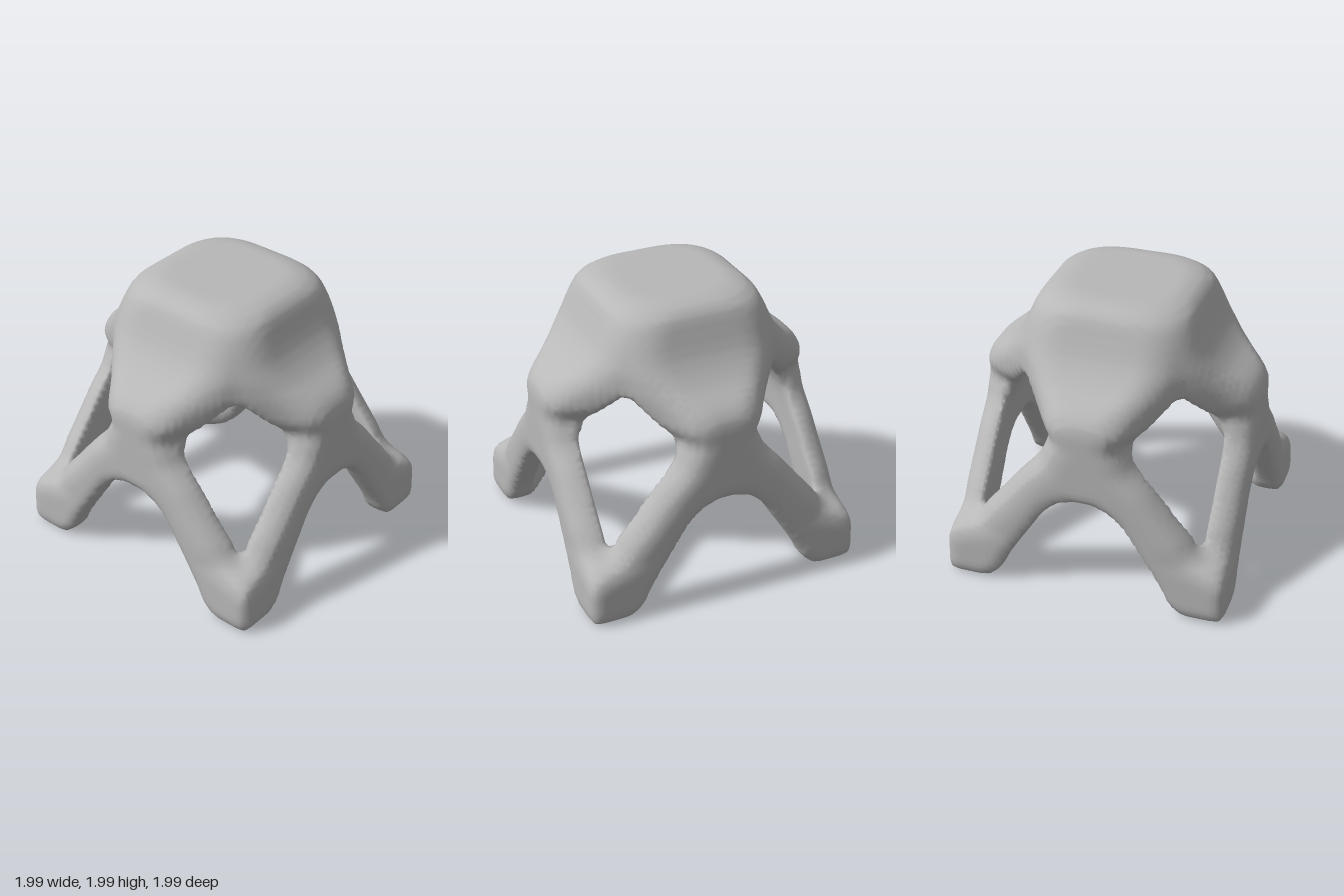
import * as THREE from 'three';

// Smooth curve through [height, value] points
function profile(pts) {
  const n = pts.length;
  const slope = pts.map((_, i) => {
    const a = pts[Math.max(i - 1, 0)], b = pts[Math.min(i + 1, n - 1)];
    return (b[1] - a[1]) / (b[0] - a[0]);
  });
  return (y) => {
    if (y <= pts[0][0]) return pts[0][1];
    if (y >= pts[n - 1][0]) return pts[n - 1][1];
    let i = 0;
    while (y > pts[i + 1][0]) i++;
    const h = pts[i + 1][0] - pts[i][0], t = (y - pts[i][0]) / h, t2 = t * t, t3 = t2 * t;
    return (2 * t3 - 3 * t2 + 1) * pts[i][1] + (t3 - 2 * t2 + t) * h * slope[i]
      + (3 * t2 - 2 * t3) * pts[i + 1][1] + (t3 - t2) * h * slope[i + 1];
  };
}

// Outer half width, corner cut with its slant, hollow half width, foot fill and arch half width by height
const outer = profile([[0, 1], [0.4, 0.99], [1.2, 0.98], [1.32, 0.97], [1.4, 0.92], [1.52, 0.76],
  [1.65, 0.65], [1.82, 0.57], [1.92, 0.53], [2, 0.48]]);
const corner = profile([[0.3, 1.6], [0.37, 1.36], [0.44, 1.16], [0.58, 1.04], [0.85, 0.82], [1.15, 0.6],
  [1.28, 0.81], [1.4, 0.97], [1.52, 0.97], [1.6, 0.96], [1.8, 0.88], [1.9, 0.81], [2, 0.7]]);
const slant = profile([[1, 0.4], [1.15, 0.4], [1.28, 0.6], [1.4, 0.8], [1.5, 0.8]]);
const hollow = profile([[0, 0.8], [0.5, 0.79], [1, 0.78], [1.15, 0.73], [1.3, 0.63], [1.4, 0.55], [1.5, 0.47]]);
const footFill = profile([[0, 1.45], [0.3, 1.5], [0.5, 1.7], [0.7, 2]]);
const arch = profile([[0, 0.68], [0.1, 0.6], [0.2, 0.55], [0.5, 0.36], [0.62, 0.28], [0.7, 0.2], [0.8, 0.1]]);

// Maximum with a rounded seam of width k
function smax(a, b, k) {
  const h = Math.max(k - Math.abs(a - b), 0) / k;
  return Math.max(a, b) + h * h * k / 4;
}

const slopeOf = (f, y) => (f(y + 0.01) - f(y - 0.01)) / 0.02;

// Negative inside the solid: outer hull minus the hollow and the four arches
function field(x, y, z) {
  const ax = Math.abs(x), az = Math.abs(z), sum = ax + az;
  const a = smax(ax, az, 0.07), b = sum - a, k = slant(y);
  const side = (a - outer(y)) / Math.hypot(1, slopeOf(outer, y));
  const cutSlope = slopeOf(corner, y) - a * slopeOf(slant, y);
  const cut = (b + k * a - corner(y)) / Math.hypot(1, k, cutSlope);
  let hull = smax(side, cut, 0.12);
  hull = smax(hull, y - 1.985, 0.12);
  hull = smax(hull, -y, 0.08);
  let inside = smax((a - hollow(y)) / Math.hypot(1, slopeOf(hollow, y)), (sum - footFill(y)) / 1.6, 0.08);
  inside = smax(inside, y - 1.47, 0.08);
  const opening = smax((b - arch(y)) / Math.hypot(1, slopeOf(arch, y)), y - 0.75, 0.08);
  return smax(smax(hull, -inside, 0.05), -opening, 0.06);
}

// Skin the field with one vertex per crossed grid cell
function skin() {
  const step = 0.04, n = 55, origin = [-1.08, -0.09, -1.08];
  const id = (i, j, k) => (i * n + j) * n + k;
  const at = (i, d) => origin[d] + i * step;
  const values = new Float32Array(n ** 3);
  for (let i = 0; i < n; i++) for (let j = 0; j < n; j++) for (let k = 0; k < n; k++)
    values[id(i, j, k)] = field(at(i, 0), at(j, 1), at(k, 2));

  const stride = [n * n, n, 1], vertex = new Int32Array(n ** 3).fill(-1);
  const positions = [], index = [];
  for (let i = 0; i < n - 1; i++) for (let j = 0; j < n - 1; j++) for (let k = 0; k < n - 1; k++) {
    const sum = [0, 0, 0], cell = [i, j, k];
    let hits = 0;
    for (let c = 0; c < 8; c++) for (let d = 0; d < 3; d++) {
      if (c >> d & 1) continue;
      const o = [c & 1, c >> 1 & 1, c >> 2 & 1];
      const p = id(i + o[0], j + o[1], k + o[2]);
      const v0 = values[p], v1 = values[p + stride[d]];
      if ((v0 < 0) === (v1 < 0)) continue;
      o[d] = v0 / (v0 - v1);
      for (let e = 0; e < 3; e++) sum[e] += o[e];
      hits++;
    }
    if (!hits) continue;
    vertex[id(i, j, k)] = positions.length / 3;
    for (let e = 0; e < 3; e++) positions.push(at(cell[e] + sum[e] / hits, e));
  }

  for (let i = 1; i < n - 1; i++) for (let j = 1; j < n - 1; j++) for (let k = 1; k < n - 1; k++) {
    const p = id(i, j, k);
    for (let d = 0; d < 3; d++) {
      const solid = values[p] < 0;
      if (solid === (values[p + stride[d]] < 0)) continue;
      const u = stride[(d + 1) % 3], v = stride[(d + 2) % 3];
      const q = [p, p - u, p - u - v, p - v].map((c) => vertex[c]);
      if (!solid) q.reverse();
      index.push(q[0], q[1], q[2], q[0], q[2], q[3]);
    }
  }
  const geometry = new THREE.BufferGeometry();
  geometry.setAttribute('position', new THREE.Float32BufferAttribute(positions, 3));
  geometry.setIndex(index);
  geometry.computeVertexNormals();
  return geometry;
}

// Name of the part that a point of the skin belongs to
function partName(x, y, z) {
  if (y > 1.4) return 'crown';
  if (y < 0.42) return (z > 0 ? 'front' : 'back') + (x > 0 ? 'Left' : 'Right') + 'Foot';
  if (Math.abs(z) > Math.abs(x)) return z > 0 ? 'frontStrut' : 'backStrut';
  return x > 0 ? 'leftStrut' : 'rightStrut';
}

export function createModel() {
  const group = new THREE.Group();
  group.name = 'archedStand';
  const grey = new THREE.MeshStandardMaterial({ color: 0xb8b8b8 });
  grey.name = 'plain grey';

  // Divide the skin into crown, struts and feet, keeping the shared normals
  const whole = skin(), pos = whole.attributes.position, idx = whole.index.array;
  const parts = {};
  for (let t = 0; t < idx.length; t += 3) {
    const tri = [idx[t], idx[t + 1], idx[t + 2]];
    const mid = ['getX', 'getY', 'getZ'].map((g) => tri.reduce((s, v) => s + pos[g](v), 0) / 3);
    (parts[partName(...mid)] ??= []).push(...tri);
  }
  for (const [name, index] of Object.entries(parts)) {
    const shared = new THREE.BufferGeometry();
    shared.setAttribute('position', pos);
    shared.setAttribute('normal', whole.attributes.normal);
    shared.setIndex(index);
    const mesh = new THREE.Mesh(shared.toNonIndexed(), grey);
    mesh.name = name;
    group.add(mesh);
  }
  return group;
}
